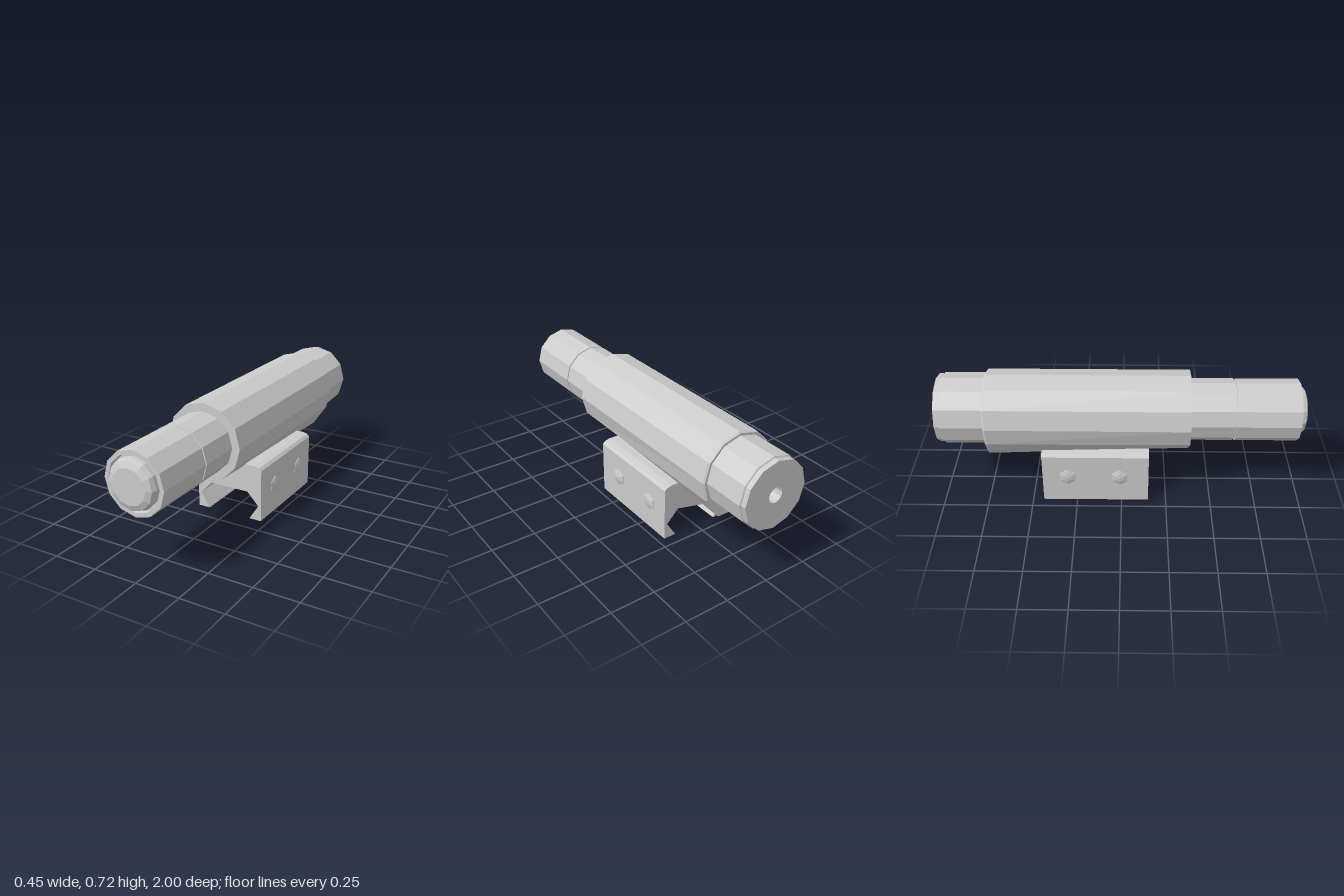
import * as THREE from 'three';

const CX = -0.009, CY = 0.503; // axis of the barrel
const material = new THREE.MeshStandardMaterial({ color: 0xcccccc, flatShading: true });

export function createModel() {
  const group = new THREE.Group();

  const add = (name, geometry) => {
    const mesh = new THREE.Mesh(geometry, material);
    mesh.name = name;
    group.add(mesh);
    return mesh;
  };

  // Twelve-sided turned part along z; profile is [radius, z] from back to front
  const turned = (name, profile) => {
    const points = profile.map(([r, z]) => new THREE.Vector2(r, z));
    const geometry = new THREE.LatheGeometry(points, 12).rotateX(Math.PI / 2);
    const mesh = add(name, geometry);
    mesh.position.set(CX, CY, 0);
    return mesh;
  };

  // Rear cap with a blind centre hole and a stepped rim
  turned('rearCap', [
    [0, -0.88], [0.042, -0.88], [0.042, -1], [0.187, -1], [0.187, -0.972],
    [0.195, -0.968], [0.195, -0.735],
  ]);

  // Main housing, its underside flaring to a flat keel at the rear
  const housing = turned('housing', [
    [0, -0.738], [0.208, -0.738], [0.215, -0.728], [0.215, 0.37], [0, 0.37],
  ]);
  const pos = housing.geometry.attributes.position;
  for (let i = 0; i < pos.count; i++) {
    const x = pos.getX(i), y = pos.getY(i);
    if (pos.getZ(i) > 0 || Math.hypot(x, y) < 0.1) continue;
    if (y < -0.15) pos.setXY(i, x * 1.05, -0.228);
    else if (y < -0.05) pos.setX(i, x * 1.04);
  }

  // Front tube with a narrow groove and a recessed mouth
  turned('frontTube', [
    [0.17, 0.36], [0.17, 0.606], [0.163, 0.607], [0.163, 0.614], [0.17, 0.615],
    [0.17, 0.96], [0.147, 0.96], [0.143, 0.94], [0, 0.94],
  ]);
  turned('frontButton', [
    [0.134, 0.935], [0.134, 0.965], [0.124, 0.988], [0.095, 1], [0, 1],
  ]);

  // Rail clamp: matching front and back sections, the channel ceiling
  // dropping to the right-hand corner at the back
  const section = (back) => [
    [-0.193, 0], [-0.123, 0], [-0.177, 0.087],
    back ? [-0.176, 0.088] : [-0.107, 0.16],
    [0.124, 0.16], [0.193, 0.087], [0.138, 0], [0.21, 0],
    [0.21, 0.3], [0.196, 0.315], [0.166, 0.322], [0.11, 0.322], [0.095, 0.31],
    [-0.08, 0.31], [-0.095, 0.322], [-0.149, 0.322], [-0.18, 0.315], [-0.193, 0.3],
  ];
  const front = section(false).map(([x, y]) => new THREE.Vector3(x, y, 0.15));
  const back = section(true).map(([x, y]) => new THREE.Vector3(x, y, -0.44));
  const corners = [];
  const n = front.length;
  for (let i = 0; i < n; i++) {
    const j = (i + 1) % n;
    corners.push(front[i], back[i], back[j], front[i], back[j], front[j]);
  }
  for (const [a, b, c] of THREE.ShapeUtils.triangulateShape(front, []))
    corners.push(front[a], front[b], front[c]);
  for (const [a, b, c] of THREE.ShapeUtils.triangulateShape(back, []))
    corners.push(back[a], back[c], back[b]);
  const clamp = new THREE.BufferGeometry().setFromPoints(corners);
  clamp.computeVertexNormals();
  add('railClamp', clamp);

  // Hexagonal clamp bolts with low pointed heads, two on each side
  const boltProfile = [[0.05, -0.01], [0.05, 0.004], [0.025, 0.011], [0, 0.014]]
    .map(([r, y]) => new THREE.Vector2(r, y));
  for (const side of [1, -1]) {
    for (const z of [-0.01, -0.3]) {
      const geometry = new THREE.LatheGeometry(boltProfile, 6)
        .rotateY(Math.PI / 2).rotateZ(-side * Math.PI / 2);
      const bolt = add(side > 0 ? 'leftBolt' : 'rightBolt', geometry);
      bolt.position.set(side > 0 ? 0.209 : -0.194, 0.165, z);
    }
  }

  return group;
}
